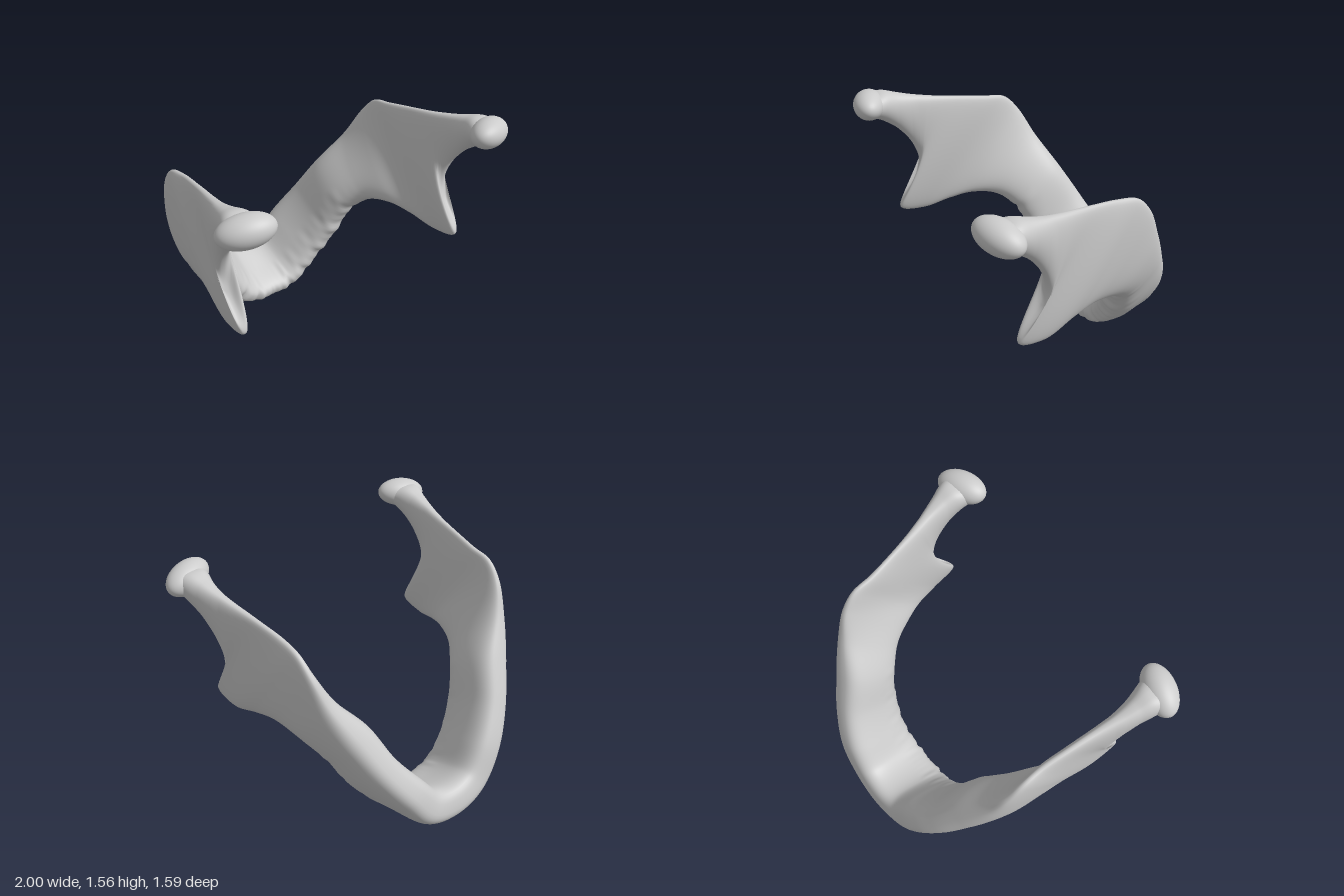
import * as THREE from 'three';

// Half of the jaw, midline to condyle. Each station:
// tooth/front edge [x,y,z], lower/rear border [x,y,z], half thickness [at tooth edge, middle, at border]
const STATIONS = [
  [[0, .06, -.315], [0, .18, -.79], [.08, .06, .175]],
  [[.17, .085, -.315], [.18, .225, -.775], [.095, .07, .175]],
  [[.33, .22, -.31], [.325, .42, -.74], [.125, .09, .155]],
  [[.46, .4, -.265], [.46, .63, -.65], [.14, .1, .14]],
  [[.55, .6, -.205], [.565, .86, -.53], [.155, .11, .14]],
  [[.645, .715, -.08], [.685, 1.08, -.41], [.14, .1, .09]],
  [[.705, .745, .08], [.74, 1.26, -.32], [.11, .075, .06]],
  [[.755, .715, .23], [.755, 1.37, -.22], [.075, .06, .05]],
  [[.795, .675, .4], [.755, 1.405, -.08], [.06, .06, .05]],
  [[.805, .72, .565], [.775, 1.435, .08], [.055, .055, .05]],
  [[.815, .92, .425], [.805, 1.47, .28], [.045, .055, .06]],
  [[.82, 1.02, .395], [.82, 1.49, .37], [.04, .055, .065]],
  [[.83, 1.16, .43], [.83, 1.505, .43], [.045, .06, .07]],
  [[.84, 1.29, .52], [.84, 1.53, .51], [.06, .075, .08]],
  [[.848, 1.365, .61], [.845, 1.555, .59], [.08, .1, .1]],
  [[.848, 1.42, .7], [.845, 1.55, .68], [.1, .12, .12]],
];
const HALF = STATIONS.length - 1;

// Smooth curve through one column, mirrored across the midline when it is a position
function column(k, mirror) {
  const pts = [];
  for (let i = -HALF; i <= HALF; i++) {
    const [a, b, c] = STATIONS[Math.abs(i)][k];
    pts.push(new THREE.Vector3(mirror && i < 0 ? -a : a, b, c));
  }
  return new THREE.CatmullRomCurve3(pts);
}

// One continuous shell: closed sections lofted from condyle to condyle
function jawGeometry() {
  const front = column(0, true), border = column(1, true), width = column(2, false);
  const N = 360, M = 56, pos = [], index = [];
  const foramen = new THREE.Vector3();
  const middle = t => front.getPoint(t).add(border.getPoint(t)).multiplyScalar(.5);
  for (let i = 0; i <= N; i++) {
    const t = i / N, s = Math.abs(2 * t - 1) * HALF;
    const A = front.getPoint(t), L = border.getPoint(t), w = width.getPoint(t);
    const D = L.clone().sub(A);
    const T = middle(Math.min(1, t + .012)).sub(middle(Math.max(0, t - .012)));
    const n = D.clone().cross(T).normalize();
    // Tooth-socket scallops fade out behind the last molar
    const fade = THREE.MathUtils.smoothstep(5 - s, 0, 1);
    const scallop = fade * (Math.sin(s * 9.5) * .6 + Math.sin(s * 17 + 1) * .4);
    for (let j = 0; j < M; j++) {
      const th = j / M * Math.PI * 2, u = (1 - Math.cos(th)) / 2, sn = Math.sin(th);
      const near = Math.max(0, 1 - u * 2.6);
      const half = w.x * (1 - u) * (1 - u) + 2 * u * (1 - u) * w.y + w.z * u * u
        + scallop * .007 * near;
      const p = A.clone().addScaledVector(D, u + scallop * .02 * near * near);
      p.addScaledVector(n, half * Math.sign(sn) * Math.pow(Math.abs(sn), .75));
      // Small nerve opening on the outer face of the body
      if (sn > 0) {
        foramen.set(p.x, .3, -.52);
        p.addScaledVector(n, -.025 * Math.exp(-p.distanceToSquared(foramen) / .0005));
      }
      pos.push(p.x, p.y, p.z);
      if (i < N) {
        const a = i * M + j, b = i * M + (j + 1) % M;
        index.push(a, b, b + M, a, b + M, a + M);
      }
    }
  }
  const g = new THREE.BufferGeometry();
  g.setAttribute('position', new THREE.Float32BufferAttribute(pos, 3));
  g.setIndex(index);
  g.computeVertexNormals();
  return g;
}

export function createModel() {
  const group = new THREE.Group();
  group.name = 'lowerJaw';
  const bone = new THREE.MeshStandardMaterial({ color: 0xcccccc, roughness: .8 });

  const jaw = new THREE.Mesh(jawGeometry(), bone);
  jaw.name = 'jawBone';
  group.add(jaw);

  // Rounded joint heads, tilted inward and slightly raised on the inner end
  for (const side of [1, -1]) {
    const head = new THREE.Mesh(new THREE.SphereGeometry(1, 40, 28), bone);
    head.name = side > 0 ? 'leftCondyle' : 'rightCondyle';
    head.scale.set(.16, .09, .098);
    head.position.set(side * .848, 1.488, .688);
    head.rotation.set(0, side * .35, side * -.12);
    group.add(head);
  }
  return group;
}
